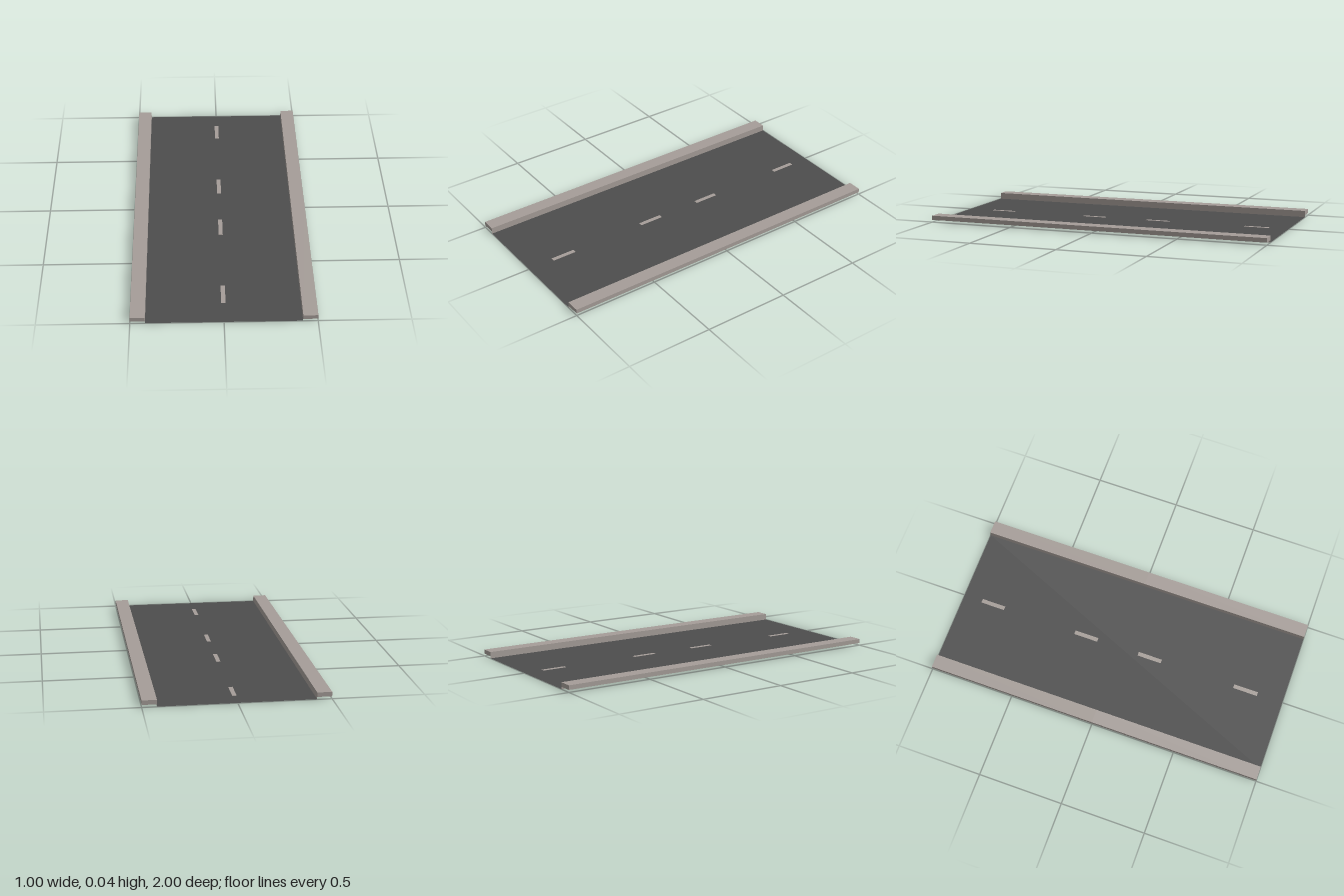
import * as THREE from 'three';

const material = (name, color) =>
  new THREE.MeshStandardMaterial({ name, color, side: THREE.DoubleSide });

export function createModel() {
  const asphalt = material('asphalt', 0x4d4d4d);
  const stone = material('stone', 0xa59d98);
  const root = new THREE.Group();
  root.name = 'roadSection';

  // Flat panel with a facing direction set by its rotation
  const panel = (parent, name, mat, w, h, pos, rx = 0, ry = 0) => {
    const mesh = new THREE.Mesh(new THREE.PlaneGeometry(w, h), mat);
    mesh.name = name;
    mesh.position.set(...pos);
    mesh.rotation.set(rx, ry, 0);
    parent.add(mesh);
  };
  const quarter = Math.PI / 2;

  // Road sheet between the kerbs
  const inner = 0.42, outer = 0.5, top = 0.038, lip = 0.0135;
  panel(root, 'roadSurface', asphalt, inner * 2, 2, [0, 0.001, 0], -quarter);

  // Centre line dashes, seen from above and below
  for (const z of [-0.815, -0.22, 0.18, 0.775]) {
    const dash = new THREE.Mesh(new THREE.BoxGeometry(0.024, 0.002, 0.145), stone);
    dash.name = 'laneDash';
    dash.position.set(0, 0.001, z);
    root.add(dash);
  }

  // Hollow kerbs, open underneath, in two lengths per side
  const width = outer - inner, capHeight = top - lip;
  const midX = (inner + outer) / 2, capY = (top + lip) / 2;
  for (const side of [-1, 1]) {
    for (const end of [-1, 1]) {
      const kerb = new THREE.Group();
      kerb.name = (side > 0 ? 'left' : 'right') + (end > 0 ? 'Front' : 'Back') + 'Kerb';
      const z = end * 0.5;
      panel(kerb, 'kerbTop', stone, width, 1, [side * midX, top, z], -quarter);
      panel(kerb, 'kerbInnerWall', stone, 1, top, [side * inner, top / 2, z], 0, -side * quarter);
      panel(kerb, 'kerbOuterWall', stone, 1, capHeight, [side * outer, capY, z], 0, side * quarter);
      panel(kerb, 'kerbEnd', stone, width, capHeight, [side * midX, capY, end], 0, end > 0 ? 0 : Math.PI);
      root.add(kerb);
    }
    // Divider where the two lengths meet
    panel(root, 'kerbDivider', stone, width, capHeight, [side * midX, capY, 0]);
  }
  return root;
}
